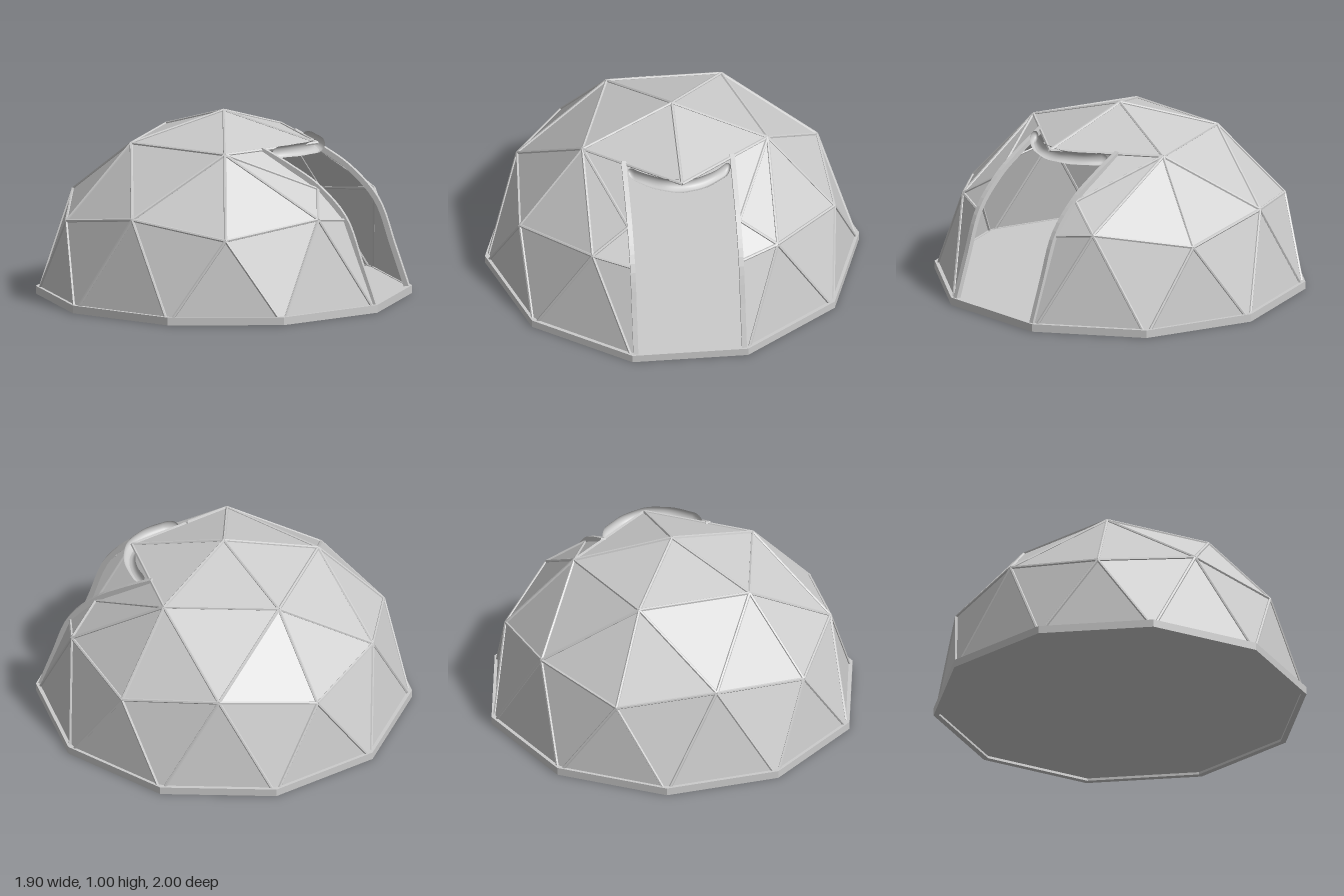
import * as THREE from 'three';
import { mergeGeometries } from 'three/addons/utils/BufferGeometryUtils.js';

const flat = new THREE.MeshStandardMaterial({ color: 0xcccccc, flatShading: true });
const thin = new THREE.MeshStandardMaterial({ color: 0xcccccc, flatShading: true, side: THREE.DoubleSide });
const smooth = new THREE.MeshStandardMaterial({ color: 0xcccccc });

const R = 0.988;          // dome radius
const DOOR = 0.295;       // half width of the doorway
const BOTTOM = 0.02;      // dome starts inside the base rim
const CAP = 0.84 * R;     // the doorway ends under the top cap

function named(name, geometry, material) {
  const mesh = new THREE.Mesh(geometry, material);
  mesh.name = name;
  return mesh;
}

// Corners of a two-frequency geodesic hemisphere
function domePoints() {
  const points = [new THREE.Vector3(0, R, 0)];
  const ring = (n, y, r, start) => {
    for (let i = 0; i < n; i++) {
      const a = THREE.MathUtils.degToRad(start + (i * 360) / n);
      points.push(new THREE.Vector3(r * Math.cos(a), y, r * Math.sin(a)).multiplyScalar(R));
    }
  };
  ring(5, 0.851, 0.526, 0);
  ring(5, 0.526, 0.851, 36);
  ring(5, 0.447, 0.894, 0);
  ring(10, 0, 1, 18);
  return points;
}

// Keep the part of a polygon where side(p) >= 0
function clip(polygon, side) {
  const out = [];
  polygon.forEach((p, i) => {
    const q = polygon[(i + 1) % polygon.length];
    const a = side(p), b = side(q);
    if (a >= 0) out.push(p);
    if (a >= 0 !== b >= 0) out.push(p.clone().lerp(q, a / (a - b)));
  });
  return out;
}

// Trim a panel or strut at the floor and around the doorway
function trim(polygon) {
  const cut = clip(polygon, p => p.y - BOTTOM);
  const middleX = polygon.reduce((s, p) => s + p.x, 0) / polygon.length;
  const low = Math.min(...polygon.map(p => p.y)) < CAP;
  const parts = middleX > 0 && low
    ? [clip(cut, p => p.z - DOOR), clip(cut, p => -p.z - DOOR)]
    : [cut];
  return parts.filter(p => p.length >= polygon.length);
}

function strut(a, b) {
  const length = a.distanceTo(b);
  const g = new THREE.CylinderGeometry(0.009, 0.009, length, 6);
  const turn = new THREE.Quaternion().setFromUnitVectors(
    new THREE.Vector3(0, 1, 0), b.clone().sub(a).normalize());
  return g.applyQuaternion(turn).translate(...a.clone().add(b).multiplyScalar(0.5).toArray());
}

function createDome() {
  const dome = new THREE.Group();
  dome.name = 'dome';
  const pts = domePoints();
  const near = (a, b) => pts[a].distanceTo(pts[b]) < 0.7;
  const corners = [], struts = [];

  for (let i = 0; i < pts.length; i++) {
    for (let j = i + 1; j < pts.length; j++) {
      if (!near(i, j)) continue;
      // Struts, except along the floor where the rim sits
      for (const [a, b] of trim([pts[i], pts[j]])) {
        if (a.distanceTo(b) > 0.01) struts.push(strut(a, b));
      }
      // Panels
      for (let k = j + 1; k < pts.length; k++) {
        if (!near(i, k) || !near(j, k)) continue;
        const face = [pts[i], pts[j], pts[k]];
        const normal = new THREE.Triangle(...face).getNormal(new THREE.Vector3());
        if (normal.dot(pts[i]) < 0) face.reverse();
        for (const part of trim(face)) {
          for (let n = 1; n < part.length - 1; n++) {
            for (const p of [part[0], part[n], part[n + 1]]) corners.push(p.x, p.y, p.z);
          }
        }
      }
    }
  }
  // Extra struts bracing the doorway
  for (const s of [-1, 1]) {
    struts.push(strut(new THREE.Vector3(0.163 * R, 0.851 * R, s * 0.5 * R),
      new THREE.Vector3(0.62, 0.645, s * DOOR)));
  }

  const panels = new THREE.BufferGeometry();
  panels.setAttribute('position', new THREE.Float32BufferAttribute(corners, 3));
  panels.computeVertexNormals();
  dome.add(named('panels', panels, thin), named('struts', mergeGeometries(struts), flat));
  return dome;
}

// Curved side rail of the doorway, following the dome
function railGeometry() {
  const path = new THREE.SplineCurve([[0.3, 0.843], [0.46, 0.757], [0.617, 0.655], [0.765, 0.492],
    [0.85, 0.26], [0.934, 0.02]].map(p => new THREE.Vector2(...p)));
  const outer = [], inner = [];
  for (let i = 0; i <= 24; i++) {
    const p = path.getPoint(i / 24), t = path.getTangent(i / 24);
    const n = new THREE.Vector2(-t.y, t.x);
    outer.push(p.clone().addScaledVector(n, 0.014));
    inner.unshift(p.clone().addScaledVector(n, -0.014));
  }
  return new THREE.ExtrudeGeometry(new THREE.Shape([...outer, ...inner]),
    { depth: 0.026, bevelEnabled: false }).translate(0, 0, -0.013);
}

// Rolled-up door cover, bent under the edge of the top cap
function rollGeometry() {
  const g = new THREE.CapsuleGeometry(0.034, 0.48, 8, 16, 32);
  const pos = g.attributes.position;
  for (let i = 0; i < pos.count; i++) {
    const z = pos.getY(i);
    const swell = 1 + 0.07 * Math.sin(z * 31 + 1) * Math.cos(z * 13);
    pos.setXYZ(i,
      0.518 - 2 * z * z - pos.getZ(i) * swell,
      0.824 + 0.004 * Math.sin(z * 9) + pos.getX(i) * swell,
      z);
  }
  // The bend mirrors the axes once and swaps them once, so faces stay outward
  g.computeVertexNormals();
  return g;
}

export function createModel() {
  const model = new THREE.Group();
  model.name = 'geodesicTent';

  // Ten-sided rim and slightly recessed floor
  const section = [[0.97, 0], [1, 0], [1, 0.042], [0.97, 0.042], [0.97, 0]]
    .map(p => new THREE.Vector2(...p));
  model.add(named('baseRim', new THREE.LatheGeometry(section, 10), flat));
  const floor = named('floor', new THREE.CylinderGeometry(0.975, 0.975, 0.025, 10), flat);
  floor.position.y = 0.026;
  model.add(floor, createDome());

  // Doorway
  for (const s of [-1, 1]) {
    const rail = named(s > 0 ? 'doorRailFront' : 'doorRailBack', railGeometry(), flat);
    rail.position.z = s * 0.29;
    model.add(rail);
  }
  model.add(named('rolledDoor', rollGeometry(), smooth));
  return model;
}
